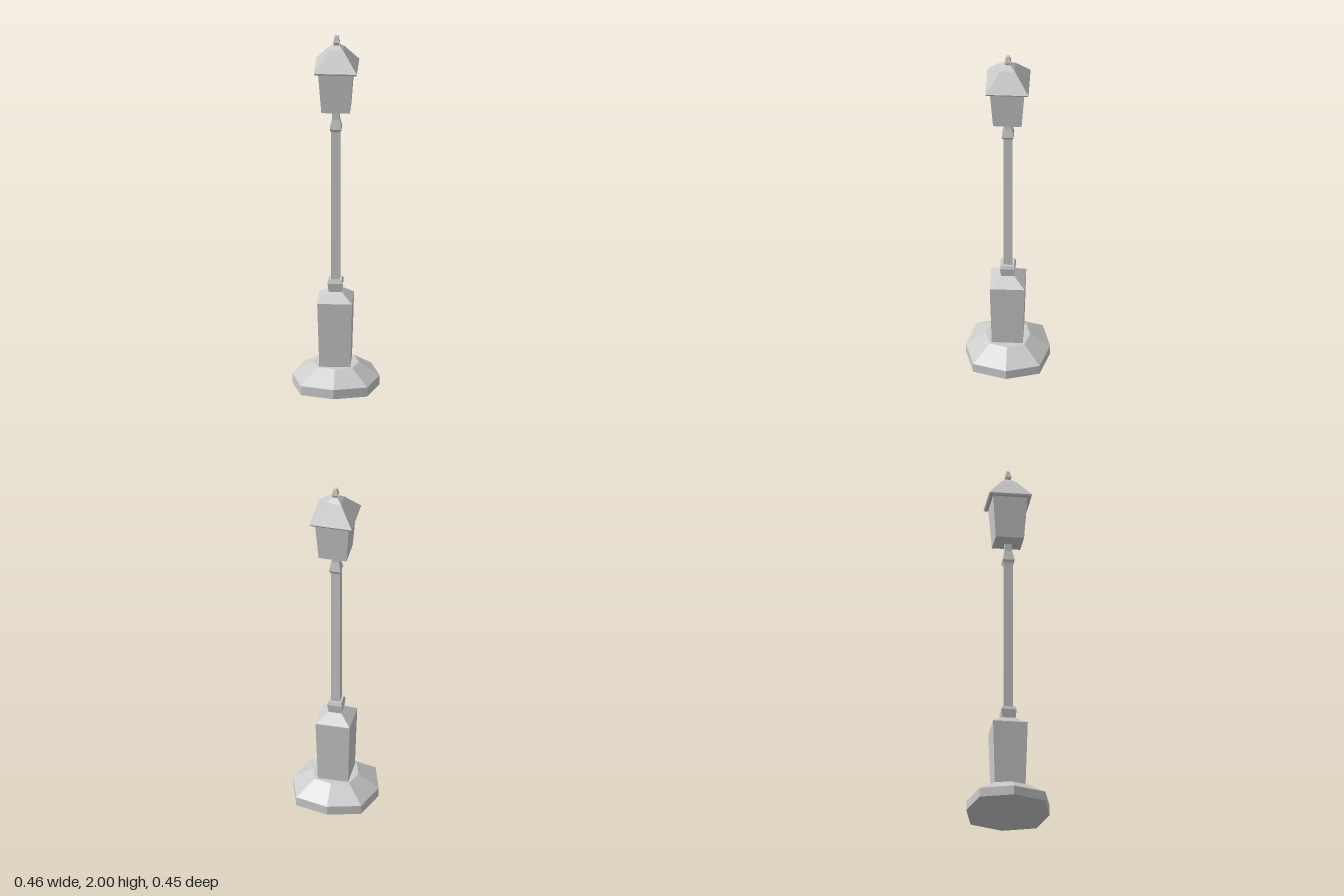
import * as THREE from 'three';

const material = new THREE.MeshStandardMaterial({ color: 0xcccccc, flatShading: true });

// Faceted solid from [half width, height] rings, listed bottom to top and closed at both ends
function faceted(name, rings, sides, x = 0) {
  const k = sides === 4 ? Math.SQRT2 : 1;
  const points = [
    new THREE.Vector2(0, rings[0][1]),
    ...rings.map(([r, y]) => new THREE.Vector2(r * k, y)),
    new THREE.Vector2(0, rings[rings.length - 1][1]),
  ];
  const geometry = new THREE.LatheGeometry(points, sides, sides === 4 ? Math.PI / 4 : 0).toNonIndexed();
  geometry.computeVertexNormals();
  const mesh = new THREE.Mesh(geometry, material);
  mesh.name = name;
  mesh.position.x = x;
  return mesh;
}

export function createModel() {
  const lamp = new THREE.Group();
  lamp.name = 'streetLamp';

  // Eight-sided foot, its axis corners drawn in slightly from the diagonal ones
  const foot = faceted('foot', [[0.25, 0], [0.25, 0.052], [0.131, 0.128]], 8);
  const pos = foot.geometry.attributes.position;
  for (let i = 0; i < pos.count; i++) {
    const x = pos.getX(i), z = pos.getZ(i);
    if (Math.abs(z) < 1e-4) pos.setX(i, x * 0.928);
    if (Math.abs(x) < 1e-4) pos.setZ(i, z * 0.896);
  }
  foot.geometry.computeVertexNormals();
  lamp.add(foot);

  // Square pedestal, collars and pole
  lamp.add(
    faceted('pedestal', [[0.082, 0.11], [0.093, 0.492], [0.036, 0.54]], 4, -0.002),
    faceted('lowerCollar', [[0.034, 0.53], [0.041, 0.588], [0.034, 0.607]], 4, -0.002),
    faceted('pole', [[0.024, 0.6], [0.024, 1.465]], 4, -0.002),
    faceted('upperCollar', [[0.025, 1.453], [0.032, 1.47], [0.02, 1.525], [0.02, 1.575]], 4),
  );

  // Tapered lantern with hipped roof and finial
  lamp.add(
    faceted('lantern', [[0.03, 1.566], [0.076, 1.582], [0.093, 1.82]], 4, 0.002),
    faceted('roof', [[0.11, 1.812], [0.115, 1.822], [0.039, 1.925], [0.015, 1.947]], 4, 0.003),
    faceted('finial', [[0.01, 1.94], [0.017, 1.963], [0.008, 2]], 4, 0.003),
  );
  return lamp;
}
